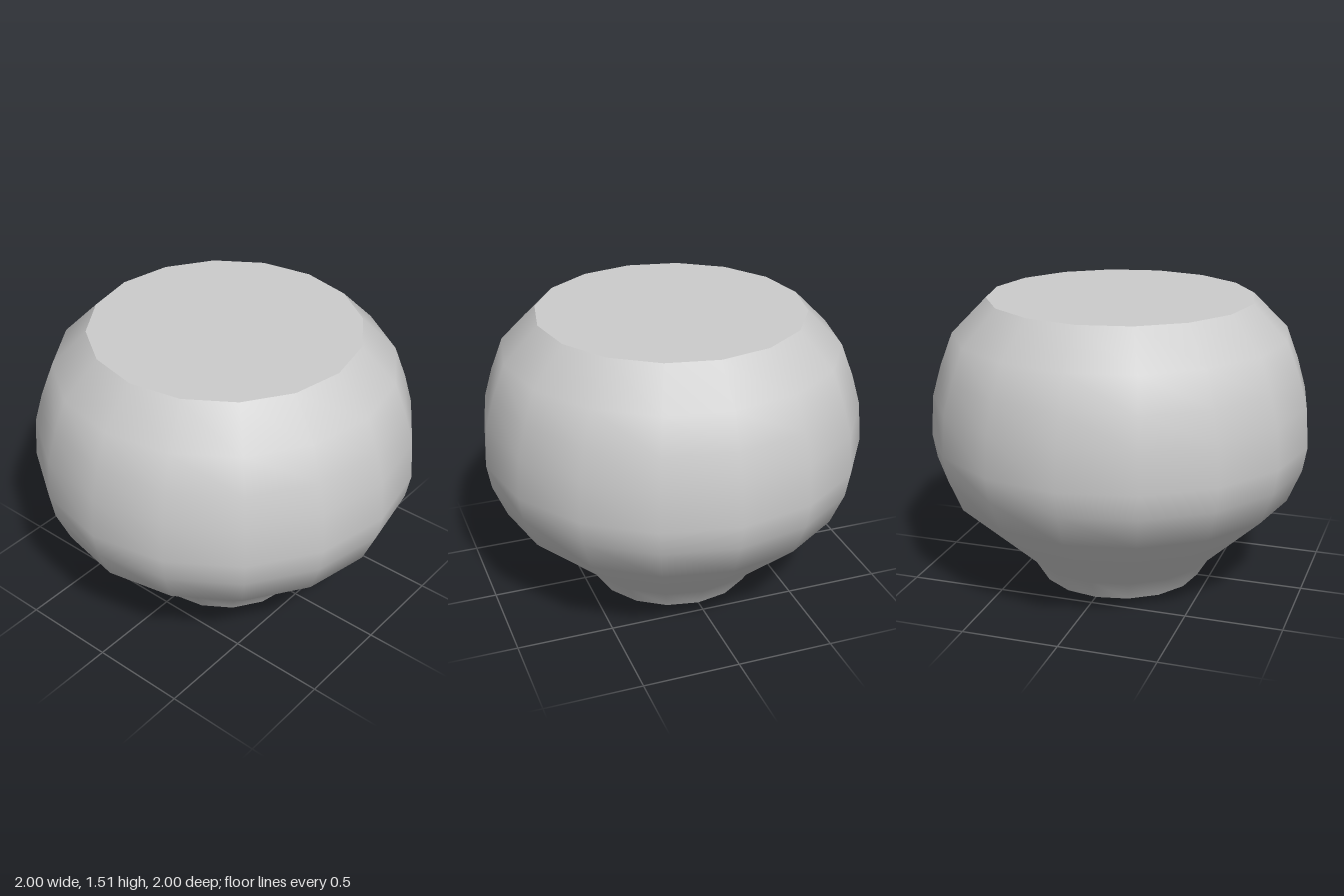
import * as THREE from 'three';

const SIDES = 16;

export function createModel() {
  const group = new THREE.Group();
  group.name = 'pot';
  const material = new THREE.MeshStandardMaterial({ color: 0xcccccc, side: THREE.DoubleSide });

  // Bulging wall, open at the foot: radius and height from bottom to top
  const profile = [
    [0.433, 0], [0.505, 0.117], [0.905, 0.488], [0.977, 0.66], [1, 0.79],
    [0.985, 1.0], [0.94, 1.16], [0.875, 1.333], [0.695, 1.515],
  ].map(([r, y]) => new THREE.Vector2(r, y));
  const body = new THREE.Mesh(new THREE.LatheGeometry(profile, SIDES), material);
  body.name = 'body';
  group.add(body);

  // Flat disc closing the top
  const disc = new THREE.CircleGeometry(0.695, SIDES);
  disc.rotateX(-Math.PI / 2);
  const top = new THREE.Mesh(disc, material);
  top.name = 'topSurface';
  top.position.y = 1.515;
  group.add(top);

  return group;
}
